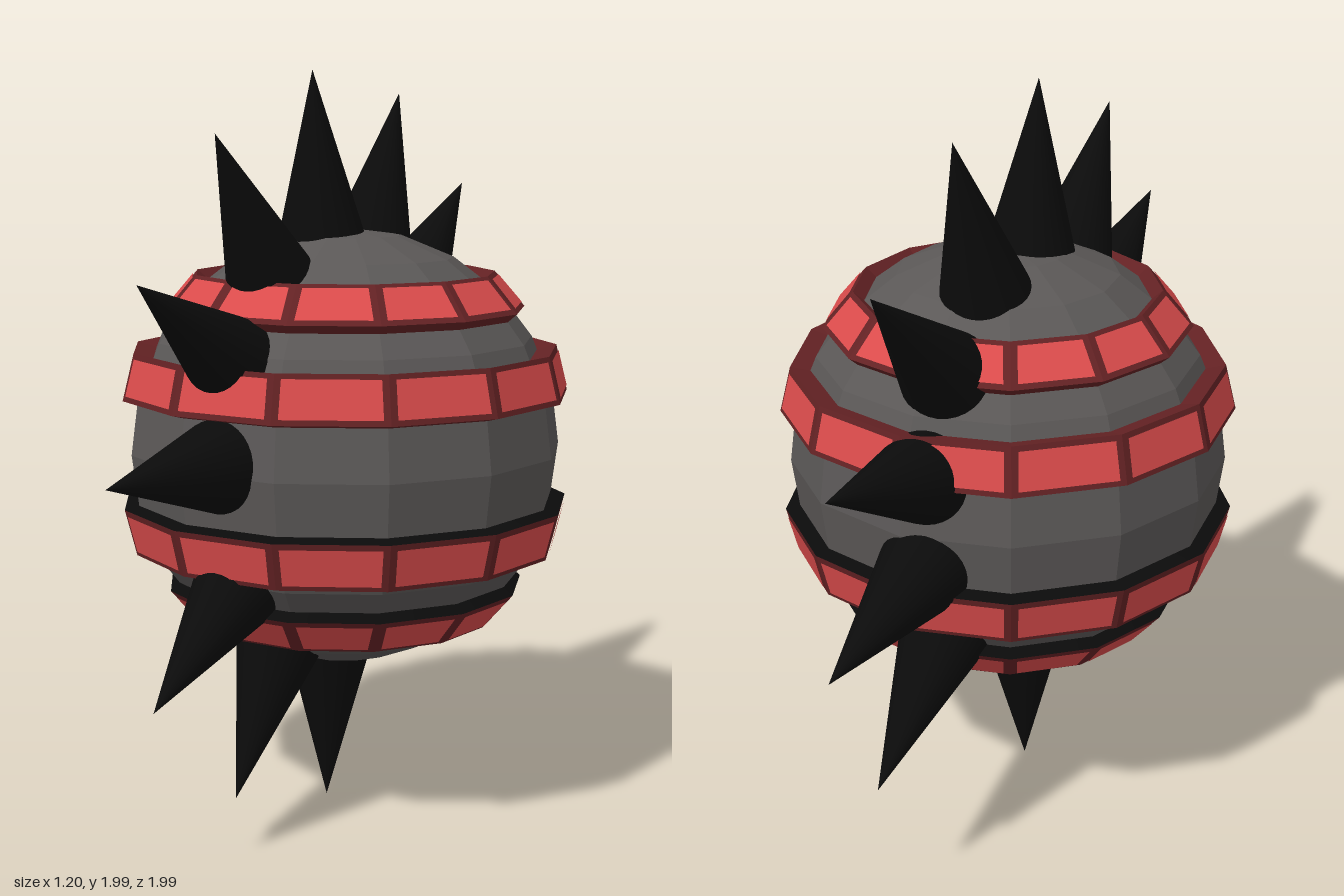
import * as THREE from 'three';

const SIDES = 13;
const CENTER_Y = 1;

const mat = (name, color, flatShading = true) => {
  const m = new THREE.MeshStandardMaterial({ color, flatShading });
  m.name = name;
  return m;
};

export function createModel() {
  const grey = mat('stone grey', 0x5b5857);
  const red = mat('panel red', 0xdc4c4c);
  const darkRed = mat('frame dark red', 0x642224);
  const black = mat('spike black', 0x0b0b0b, false);

  const model = new THREE.Group();
  model.name = 'spikedBall';
  const add = (parent, name, geometry, material) => {
    const mesh = new THREE.Mesh(geometry, material);
    mesh.name = name;
    parent.add(mesh);
    return mesh;
  };

  // Faceted ball, with one column edge facing straight back
  const body = new THREE.Group();
  body.name = 'body';
  body.position.y = CENTER_Y;
  model.add(body);
  add(body, 'ball', new THREE.SphereGeometry(0.585, SIDES, 12, -Math.PI / 2), grey);

  // Ring surface from a short profile, with the same sides as the ball
  const ring = (points) => new THREE.LatheGeometry(points, SIDES, Math.PI);

  // One inset panel on each side of a band
  const panels = (bottom, top) => {
    const positions = [];
    for (let i = 0; i < SIDES; i++) {
      const a0 = Math.PI + (i / SIDES) * Math.PI * 2;
      const a1 = a0 + (Math.PI * 2) / SIDES;
      const corner = (p, end) => {
        const t = 0.018 / (2 * p.x * Math.sin(Math.PI / SIDES));
        const from = new THREE.Vector3(p.x * Math.sin(a0), p.y, p.x * Math.cos(a0));
        const to = new THREE.Vector3(p.x * Math.sin(a1), p.y, p.x * Math.cos(a1));
        return from.lerp(to, end ? 1 - t : t);
      };
      const [a, b, c, d] = [corner(bottom, 0), corner(bottom, 1), corner(top, 1), corner(top, 0)];
      for (const v of [a, b, c, a, c, d]) positions.push(v.x, v.y, v.z);
    }
    const g = new THREE.BufferGeometry();
    g.setAttribute('position', new THREE.Float32BufferAttribute(positions, 3));
    g.computeVertexNormals();
    return g;
  };

  // Sloped bands: [radius, height] of the wide and the narrow edge
  const bands = [
    ['Middle', [0.606, 0.145], [0.575, 0.268]],
    ['Outer', [0.486, 0.373], [0.404, 0.468]],
  ];
  for (const [label, wideEdge, narrowEdge] of bands) {
    for (const s of [1, -1]) {
      const band = new THREE.Group();
      band.name = (s > 0 ? 'upper' : 'lower') + label + 'Band';
      body.add(band);

      const wide = new THREE.Vector2(wideEdge[0], wideEdge[1] * s);
      const narrow = new THREE.Vector2(narrowEdge[0], narrowEdge[1] * s);
      const [bottom, top] = s > 0 ? [wide, narrow] : [narrow, wide];
      const along = top.clone().sub(bottom).normalize();
      const normal = new THREE.Vector2(along.y, -along.x);
      const shift = (p, out, up) => p.clone().addScaledVector(normal, out).addScaledVector(along, up);

      add(band, 'bandFrame', ring([bottom, top]), darkRed);
      const rim = s > 0 ? darkRed : black;
      add(band, 'bottomRim', ring([shift(bottom, -0.06, 0), bottom]), rim);
      add(band, 'topRim', ring([top, shift(top, -0.06, 0)]), rim);
      add(band, 'bandPanels', panels(shift(bottom, 0.004, 0.014), shift(top, 0.004, -0.014)), red);
    }
  }

  // Crest of spikes around the side plane: tip [z, y from the ball's centre]
  const tips = [
    [0.1, 0.995], [-0.36, 0.94], [-0.75, 0.68], [-0.97, 0.27], [-0.99, -0.19], [-0.79, -0.61],
    [0.035, -0.99], [0.485, -0.86], [0.83, -0.535], [0.995, 0.04], [0.865, 0.495], [0.545, 0.835],
  ];
  const spikes = new THREE.Group();
  spikes.name = 'spikes';
  spikes.position.set(-0.037, CENTER_Y, 0);
  model.add(spikes);
  const base = 0.48;
  for (const [z, y] of tips) {
    const dir = new THREE.Vector3(0, y, z);
    const length = dir.length();
    dir.normalize();
    const spike = add(spikes, 'spike', new THREE.ConeGeometry(0.138, length - base, 32), black);
    spike.position.copy(dir).multiplyScalar((length + base) / 2);
    spike.rotation.x = Math.atan2(z, y);
  }
  return model;
}
